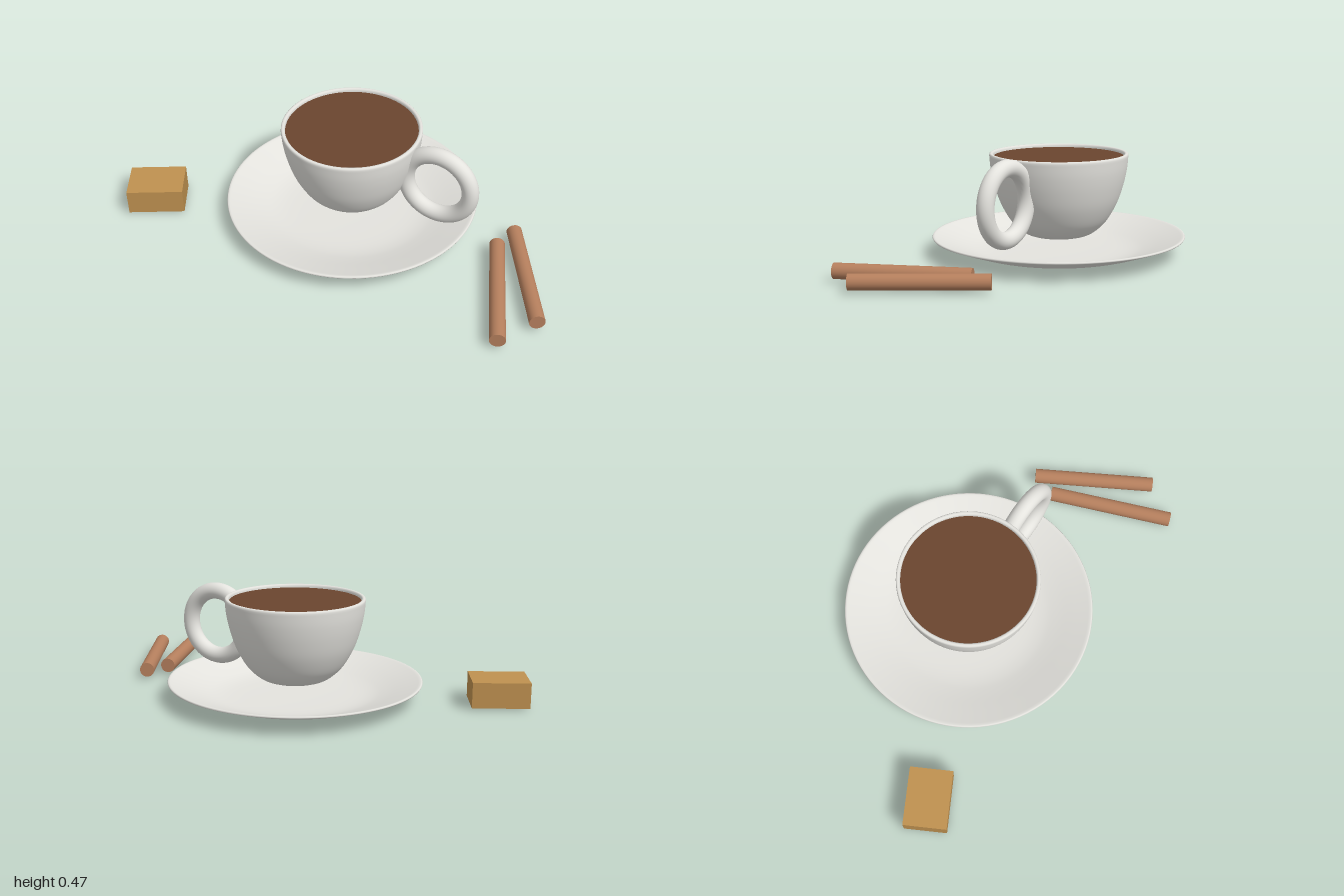
import * as THREE from 'three';

const material = (name, color) => {
  const m = new THREE.MeshStandardMaterial({ color });
  m.name = name;
  return m;
};

// Smooth profile through a few [radius, height] points
const profile = (points, divisions) =>
  new THREE.SplineCurve(points.map(([r, y]) => new THREE.Vector2(r, y))).getPoints(divisions)
    .map((p) => new THREE.Vector2(Math.max(p.x, 0), p.y));

export function createModel() {
  const model = new THREE.Group();
  const porcelain = material('porcelain', 0xe4e3de);
  const coffeeBrown = material('coffee brown', 0x6a452f);
  const cinnamon = material('cinnamon', 0xb57f5d);
  const caramel = material('caramel sugar', 0xbf9150);

  const add = (parent, name, geometry, mat, x = 0, y = 0, z = 0) => {
    const mesh = new THREE.Mesh(geometry, mat);
    mesh.name = name;
    mesh.position.set(x, y, z);
    parent.add(mesh);
    return mesh;
  };

  // Cup and saucer share one axis
  const service = new THREE.Group();
  service.name = 'cupAndSaucer';
  service.position.x = -0.047;
  model.add(service);

  // Saucer: thin shallow dish, underside first, then the upper face
  const underside = profile([[0, 0], [0.15, 0.001], [0.27, 0.004], [0.34, 0.011], [0.4, 0.025], [0.48, 0.052], [0.55, 0.077]], 30);
  const upperFace = profile([[0.55, 0.088], [0.48, 0.064], [0.4, 0.037], [0.34, 0.021], [0.27, 0.013], [0.15, 0.01], [0, 0.009]], 30);
  const saucerRim = [new THREE.Vector2(0.558, 0.08), new THREE.Vector2(0.56, 0.084), new THREE.Vector2(0.557, 0.088)];
  add(service, 'saucer', new THREE.LatheGeometry([...underside, ...saucerRim, ...upperFace], 96), porcelain);

  // Cup: rounded bowl with a wall and a soft rim
  const outside = profile([[0, 0.076], [0.08, 0.078], [0.14, 0.09], [0.185, 0.121], [0.222, 0.164], [0.26, 0.235], [0.285, 0.31], [0.3, 0.38], [0.306, 0.44]], 40);
  const inside = profile([[0.288, 0.44], [0.282, 0.38], [0.266, 0.31], [0.24, 0.235], [0.203, 0.172], [0.14, 0.115], [0.08, 0.1], [0, 0.098]], 40);
  const cupRim = [new THREE.Vector2(0.305, 0.447), new THREE.Vector2(0.301, 0.45),
    new THREE.Vector2(0.294, 0.45), new THREE.Vector2(0.289, 0.447)];
  add(service, 'cup', new THREE.LatheGeometry([...outside, ...cupRim, ...inside], 96), porcelain);

  // Coffee filling the cup almost to the rim
  const coffee = new THREE.CircleGeometry(0.289, 96).rotateX(-Math.PI / 2);
  add(service, 'coffee', coffee, coffeeBrown, 0, 0.435, 0);

  // Ring handle on the model's left
  add(model, 'handle', new THREE.TorusGeometry(0.15, 0.037, 24, 72), porcelain, 0.368, 0.283, 0);

  // Cinnamon sticks lying on the table, given by their [x, z] ends
  const sticks = [
    [[0.68, -0.14], [0.968, 0.332]],
    [[0.647, -0.027], [0.866, 0.497]],
  ];
  const up = new THREE.Vector3(0, 1, 0);
  for (const [[x0, z0], [x1, z1]] of sticks) {
    const along = new THREE.Vector3(x1 - x0, 0, z1 - z0);
    const stick = add(model, 'cinnamonStick', new THREE.CylinderGeometry(0.033, 0.033, along.length(), 32),
      cinnamon, (x0 + x1) / 2, 0.046, (z0 + z1) / 2);
    stick.quaternion.setFromUnitVectors(up, along.normalize());
  }

  // Sugar block beside the saucer
  const sugar = add(model, 'sugarBlock', new THREE.BoxGeometry(0.247, 0.112, 0.186), caramel, -0.848, 0.065, 0.377);
  sugar.rotation.y = Math.PI / 6;

  return model;
}
